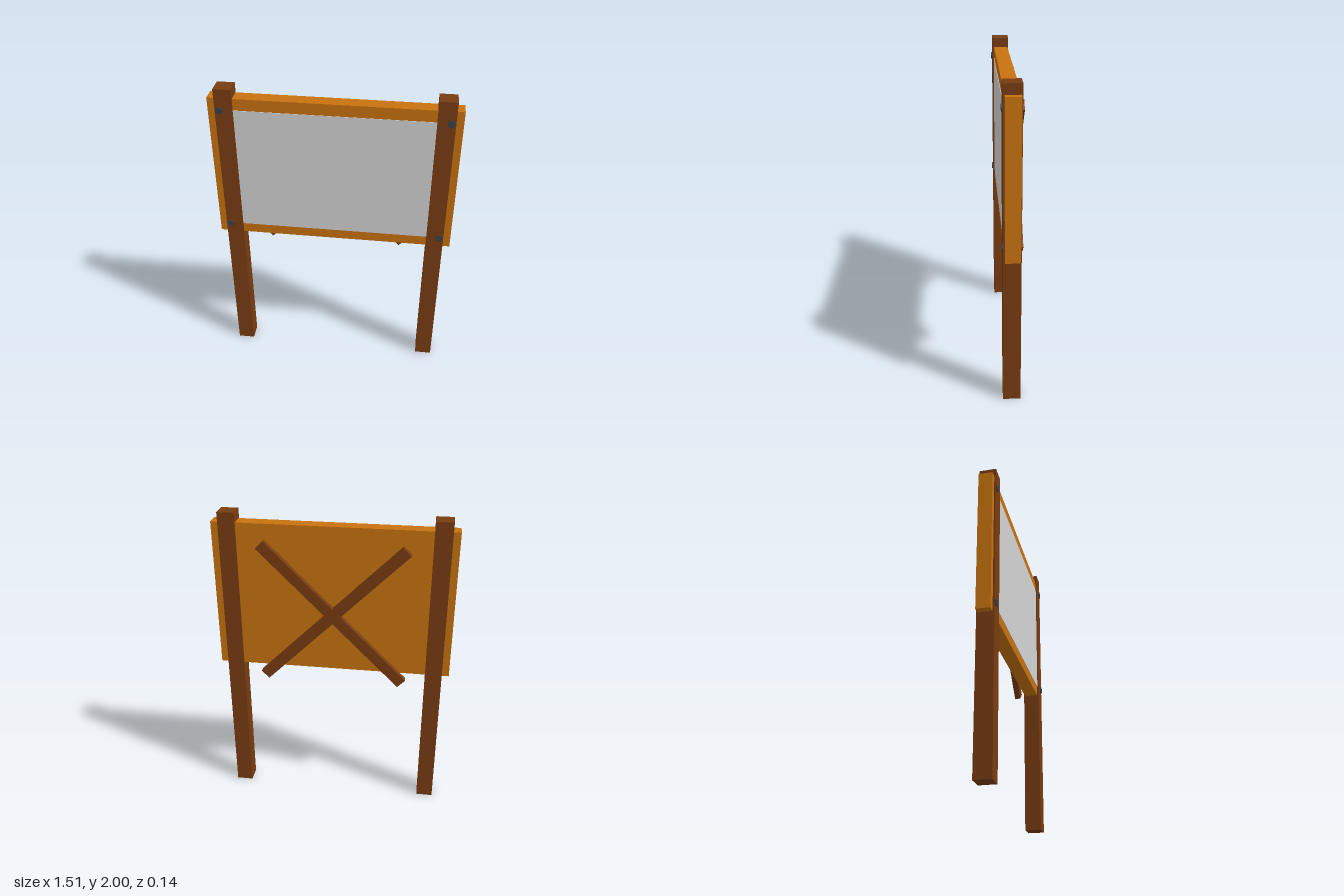
import * as THREE from 'three';

const paint = (name, color) => {
  const m = new THREE.MeshStandardMaterial({ color });
  m.name = name;
  return m;
};

export function createModel() {
  const darkWood = paint('dark wood', 0x783c11);
  const orangeWood = paint('orange wood', 0xc8720f);
  const paper = paint('pale grey sheet', 0xd4d4d4);
  const iron = paint('dark iron', 0x3a424c);

  const model = new THREE.Group();
  model.name = 'noticeBoard';

  const add = (name, geometry, material, x, y, z) => {
    const mesh = new THREE.Mesh(geometry, material);
    mesh.name = name;
    mesh.position.set(x, y, z);
    model.add(mesh);
    return mesh;
  };

  // Board and the thin sheet on its front
  add('board', new THREE.BoxGeometry(1.506, 0.96, 0.09), orangeWood, 0, 1.459, 0.009);
  add('sheet', new THREE.BoxGeometry(1.36, 0.82, 0.004), paper, 0, 1.455, 0.055);

  // Posts, each with two bolts
  const post = new THREE.BoxGeometry(0.108, 2, 0.108);
  const bolt = new THREE.CylinderGeometry(0.023, 0.023, 0.012, 10);
  bolt.rotateX(Math.PI / 2);
  for (const [side, label] of [[1, 'left'], [-1, 'right']]) {
    add(label + 'Post', post, darkWood, side * 0.654, 1, 0.011);
    for (const [y, level] of [[1.865, 'Upper'], [1.047, 'Lower']]) {
      add(label + level + 'Bolt', bolt, iron, side * 0.682, y, 0.066);
    }
  }

  // Crossed braces on the back
  const brace = new THREE.BoxGeometry(1.273, 0.07, 0.038);
  add('risingBrace', brace, darkWood, 0, 1.366, -0.053).rotation.z = Math.PI / 4;
  add('fallingBrace', brace, darkWood, 0, 1.366, -0.0525).rotation.z = -Math.PI / 4;

  return model;
}
